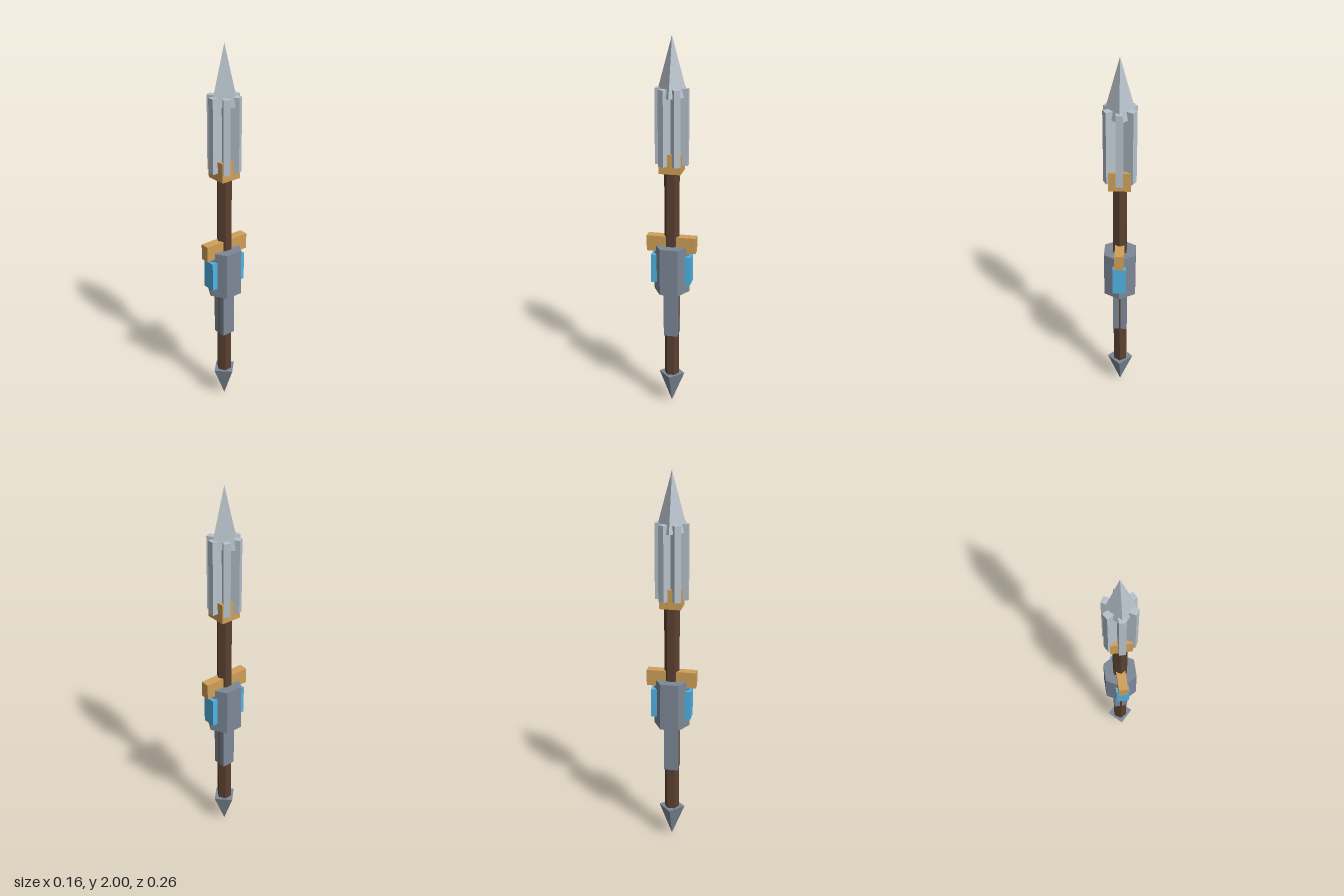
import * as THREE from 'three';

const paint = (color) => new THREE.MeshStandardMaterial({ color, flatShading: true });

export function createModel() {
  const group = new THREE.Group();
  const wood = paint(0x5a4030), gold = paint(0xd0a058), steel = paint(0x7d8896),
    silver = paint(0xb8c2cc), blue = paint(0x50b4e6);

  // Adds a geometry that spans the heights y0 to y1
  const add = (name, geometry, material, y0, y1) => {
    const mesh = new THREE.Mesh(geometry, material);
    mesh.name = name;
    mesh.position.y = (y0 + y1) / 2;
    group.add(mesh);
    return mesh;
  };
  const box = (name, w, d, y0, y1, material) =>
    add(name, new THREE.BoxGeometry(w, y1 - y0, d), material, y0, y1);
  const prism = (name, rTop, rBottom, sides, y0, y1, material) =>
    add(name, new THREE.CylinderGeometry(rTop, rBottom, y1 - y0, sides), material, y0, y1);

  // Hexagonal shaft and its pointed foot
  prism('shaft', 0.04, 0.04, 6, 0.17, 1.36, wood);
  prism('footSpike', 0.07, 0, 4, 0, 0.18, steel);

  // Grip sleeve and hexagonal housing with gem and crossbar
  box('sleeve', 0.074, 0.074, 0.42, 0.69, steel);
  prism('housing', 0.094, 0.094, 6, 0.68, 0.935, steel);
  box('gem', 0.07, 0.21, 0.73, 0.885, blue);
  box('crossbar', 0.048, 0.258, 0.903, 0.987, gold);

  // Head: square collar, three crossed slabs forming six flanges, pyramid tip
  box('collar', 0.11, 0.11, 1.33, 1.43, gold);
  for (let i = 0; i < 3; i++) {
    const flange = box('flangePair', 0.034, 0.167, 1.37, 1.75, silver);
    flange.rotation.y = (i * Math.PI) / 3;
  }
  prism('tip', 0, 0.08, 4, 1.707, 2, silver);

  return group;
}
